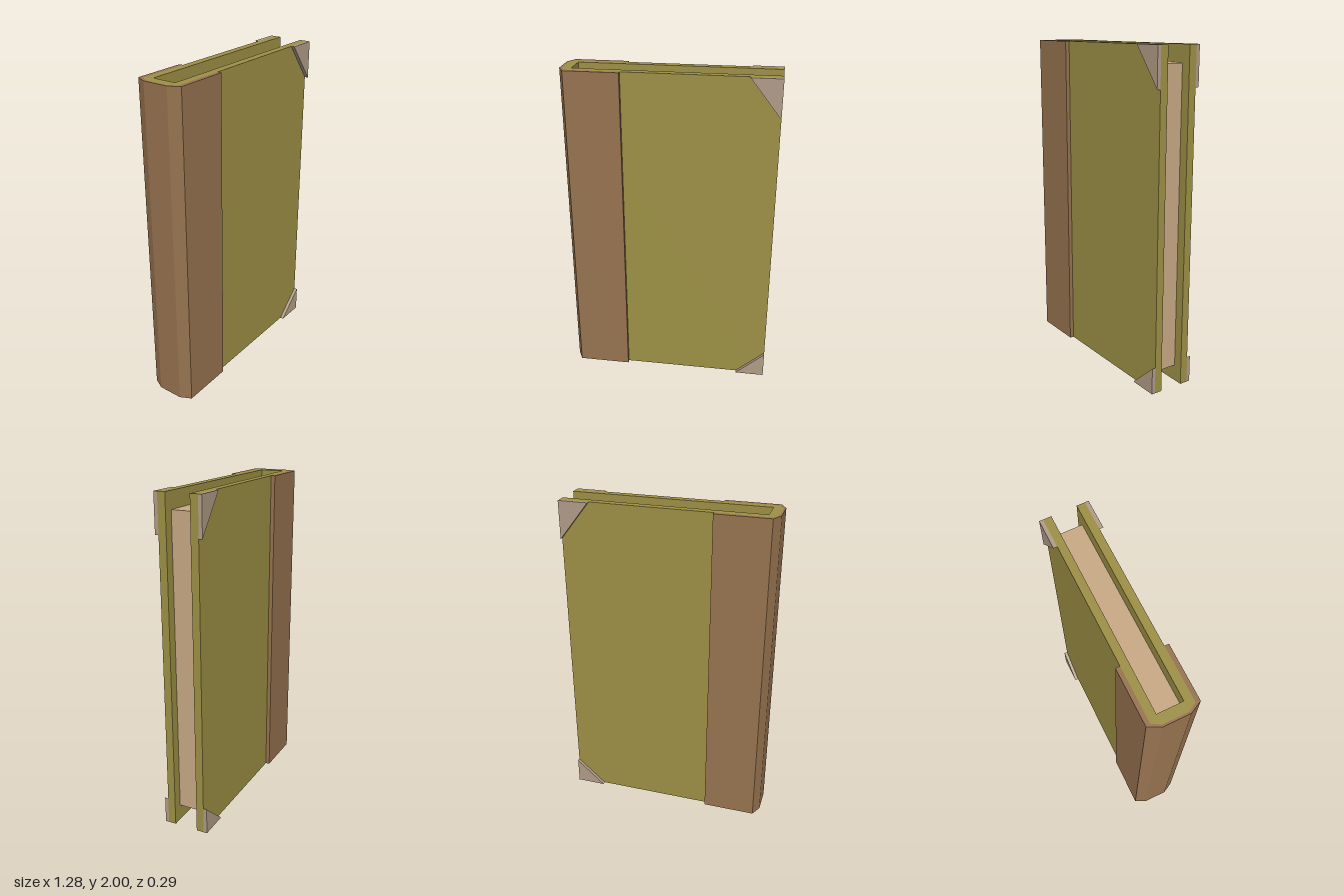
import * as THREE from 'three';

const material = (name, color) => {
  const m = new THREE.MeshStandardMaterial({ color });
  m.name = name;
  return m;
};

// Extrude a symmetric plan outline (x, z) upwards; half lists one side, the other is mirrored
function upright(half, height, bottom) {
  const pts = [...half, ...half.slice().reverse().map(([x, z]) => [x, -z])];
  const shape = new THREE.Shape(pts.map(([x, z]) => new THREE.Vector2(x, z)));
  const geo = new THREE.ExtrudeGeometry(shape, { depth: height, bevelEnabled: false });
  return geo.rotateX(-Math.PI / 2).translate(0, bottom, 0);
}

export function createModel() {
  const olive = material('olive cover', 0x9d9045);
  const brown = material('brown leather', 0x97734f);
  const paper = material('paper', 0xc9a985);
  const tan = material('corner tan', 0xb09c87);

  const book = new THREE.Group();
  book.name = 'book';
  const add = (name, geo, mat) => {
    const mesh = new THREE.Mesh(geo, mat);
    mesh.name = name;
    book.add(mesh);
    return mesh;
  };

  // U-shaped cover with a bevelled spine
  add('cover', upright([
    [-0.628, 0.072], [-0.6, 0.121], [0.638, 0.121], [0.638, 0.0735], [-0.57, 0.0735],
  ], 2, 0), olive);

  // Leather wrapped round the spine, fitted to the outside of the cover
  add('spineLeather', upright([
    [-0.64, 0.078], [-0.605, 0.146], [-0.278, 0.146], [-0.278, 0.121], [-0.6, 0.121], [-0.628, 0.072],
  ], 2, 0), brown);

  // Page block, recessed at the top, bottom and fore edge
  const pages = add('pages', new THREE.BoxGeometry(1.147, 1.8, 0.147), paper);
  pages.position.set(0.0065, 1, 0);

  // Triangular corner guards on both covers
  for (const [label, y, tip] of [['top', 2, 1.77], ['bottom', 0, 0.165]]) {
    const shape = new THREE.Shape([
      new THREE.Vector2(0.456, y), new THREE.Vector2(0.638, y), new THREE.Vector2(0.638, tip),
    ]);
    for (const [side, z] of [['Front', 0.121], ['Back', -0.143]]) {
      const geo = new THREE.ExtrudeGeometry(shape, { depth: 0.022, bevelEnabled: false });
      add(label + side + 'Corner', geo.translate(0, 0, z), tan);
    }
  }
  return book;
}
